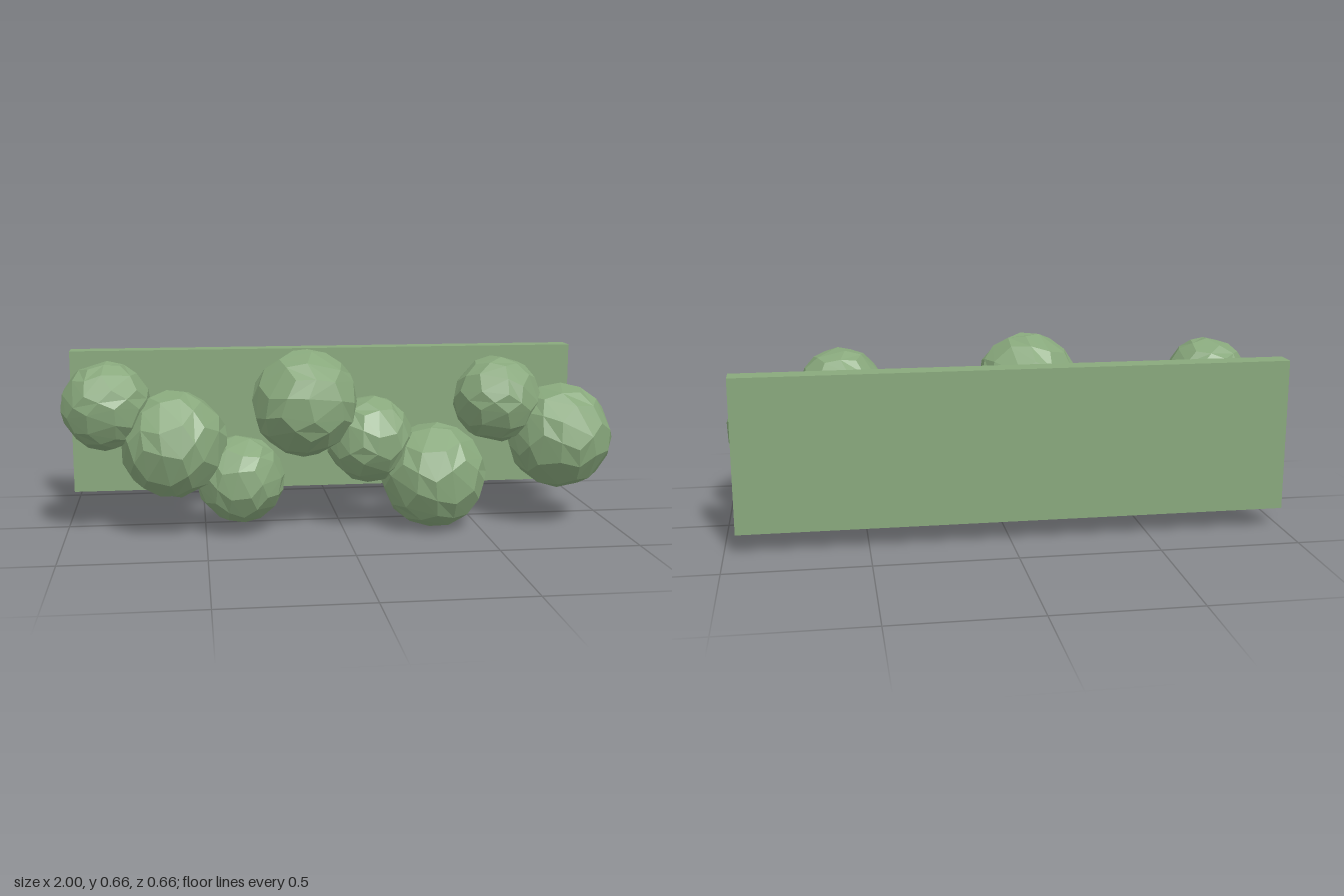
import * as THREE from 'three';

const mat = (name, color) => new THREE.MeshStandardMaterial({ name, color, flatShading: true });

export function createModel() {
  const model = new THREE.Group();
  model.name = 'wallRack';
  const green = mat('sageGreen', 0x88a87c);
  const brown = mat('stemBrown', 0x8d7d70);

  const add = (geometry, material, name, x, y, z) => {
    const mesh = new THREE.Mesh(geometry, material);
    mesh.name = name;
    mesh.position.set(x, y, z);
    model.add(mesh);
    return mesh;
  };

  // Flat back board
  add(new THREE.BoxGeometry(1.958, 0.548, 0.08), green, 'backBoard', -0.021, 0.351, -0.289);

  // Faceted knobs in a zigzag, alternating small and large, each on a thin stem
  const heights = [0.473, 0.334, 0.197];
  const small = new THREE.DodecahedronGeometry(0.16, 1);
  const large = new THREE.DodecahedronGeometry(0.194, 1);
  const stem = new THREE.CylinderGeometry(0.018, 0.02, 0.4, 6).rotateX(Math.PI / 2);
  for (let i = 0; i < 8; i++) {
    const x = -0.843 + i * 0.2355;
    const y = heights[i % 3];
    const big = i % 2 === 1;
    const knob = add(big ? large : small, green, 'knob', x, y, big ? 0.141 : 0.125);
    knob.rotation.set(0.3 + i * 0.7, 0.25 + i * 0.4, i * 1.1);
    add(stem, brown, 'stem', x, y - 0.004, -0.06);
  }

  // Rest the lowest knob on the ground
  const box = new THREE.Box3().setFromObject(model, true);
  model.position.y = -box.min.y;
  return model;
}
